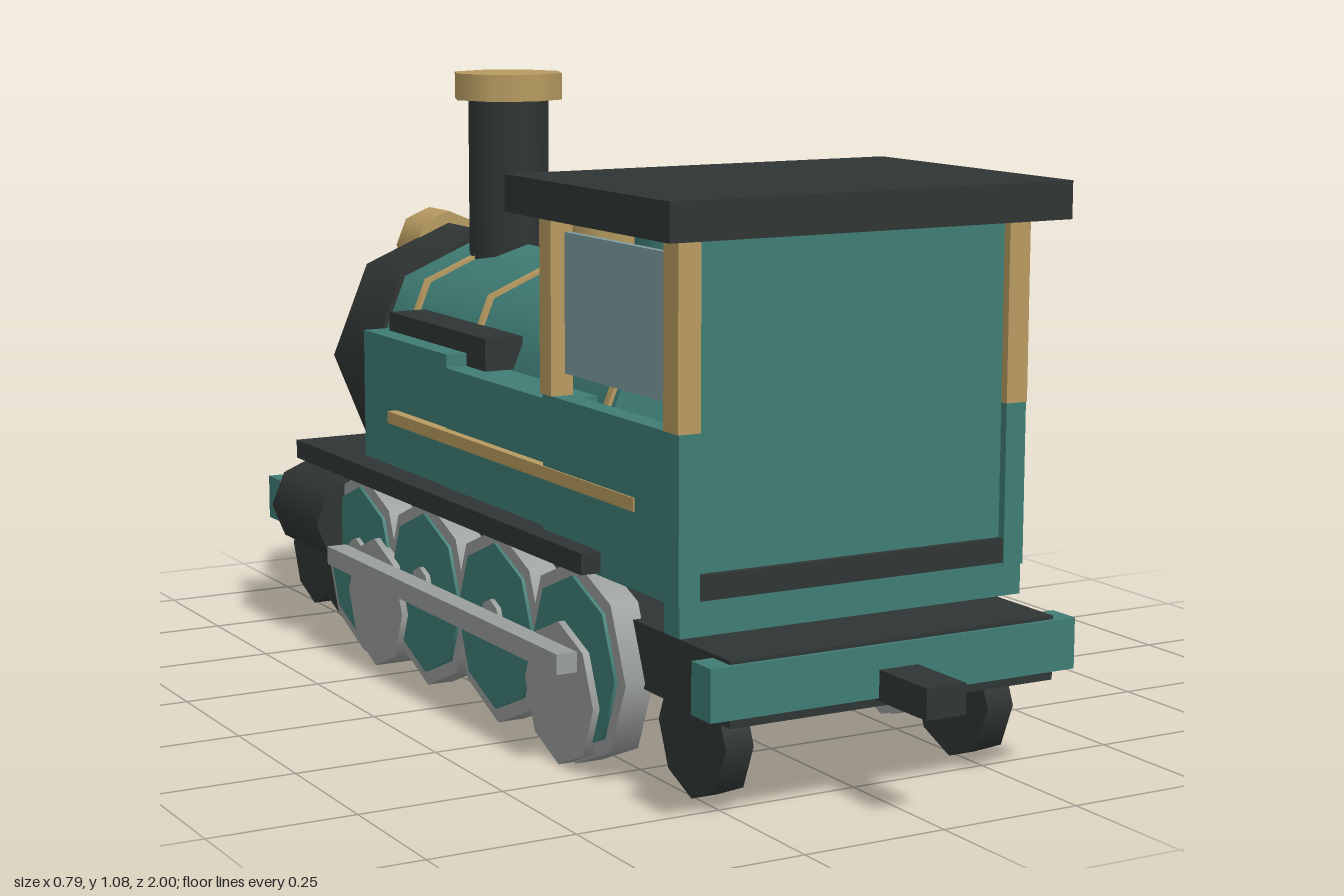
import * as THREE from 'three';

const mat = (color) => new THREE.MeshStandardMaterial({ color });

export function createModel() {
  const model = new THREE.Group();
  const teal = mat(0x3f7d75), black = mat(0x2f3534), gold = mat(0xb89b60);
  const steel = mat(0x9a9e9c), glass = mat(0x7f9da0);

  const add = (name, geometry, material) => {
    const mesh = new THREE.Mesh(geometry, material);
    mesh.name = name;
    model.add(mesh);
    return mesh;
  };
  // Box given by its extents on each axis
  const box = (name, material, [x0, x1], [y0, y1], [z0, z1]) =>
    add(name, new THREE.BoxGeometry(x1 - x0, y1 - y0, z1 - z0), material)
      .position.set((x0 + x1) / 2, (y0 + y1) / 2, (z0 + z1) / 2);
  // The same box on both sides
  const pair = (name, material, [x0, x1], y, z) => {
    box(name + 'Left', material, [x0, x1], y, z);
    box(name + 'Right', material, [-x1, -x0], y, z);
  };
  // Eight-sided drums along each axis
  const drumY = (name, material, r, y0, y1, z) =>
    add(name, new THREE.CylinderGeometry(r, r, y1 - y0, 8), material)
      .position.set(0, (y0 + y1) / 2, z);
  const drumZ = (name, material, r, x, y, z0, z1) =>
    add(name, new THREE.CylinderGeometry(r, r, z1 - z0, 8).rotateX(Math.PI / 2), material)
      .position.set(x, y, (z0 + z1) / 2);
  const wheels = (name, material, r, x0, x1, y, z) => {
    for (const s of [1, -1]) {
      add(name + (s > 0 ? 'Left' : 'Right'),
        new THREE.CylinderGeometry(r, r, x1 - x0, 8).rotateZ(Math.PI / 2), material)
        .position.set(s * (x0 + x1) / 2, y, z);
    }
  };

  // Frame, beams and couplers
  box('frame', black, [-0.3, 0.3], [0.165, 0.27], [-0.79, 0.865]);
  box('underPlate', black, [-0.322, 0.322], [0.14, 0.24], [-0.45, 0.45]);
  box('rearBeam', teal, [-0.338, 0.338], [0.18, 0.264], [0.815, 0.872]);
  box('frontBeam', teal, [-0.338, 0.338], [0.18, 0.264], [-0.872, -0.815]);
  for (const [name, z] of [['rearCoupler', [0.865, 1]], ['frontCoupler', [-1, -0.865]]])
    box(name, black, [-0.036, 0.036], [0.175, 0.225], z);
  pair('runningBoard', black, [0.2, 0.358], [0.335, 0.37], [-0.675, 0.5]);

  // Boiler, bands and smokebox
  const cy = 0.52;
  drumZ('boiler', teal, 0.24, 0, cy, -0.58, 0.355);
  for (const z of [-0.465, -0.195, 0.115, 0.335])
    drumZ('boilerBand', gold, 0.247, 0, cy, z - 0.008, z + 0.008);
  drumZ('smokebox', black, 0.249, 0, cy, -0.74, -0.572);
  drumZ('smokeboxDoor', black, 0.2, 0, cy, -0.755, -0.73);
  drumZ('doorKnob', gold, 0.037, 0, cy, -0.78, -0.75);
  drumZ('headlamp', gold, 0.073, 0, 0.72, -0.825, -0.735);

  // Chimney and domes
  drumY('chimney', black, 0.08, 0.72, 1.03, -0.465);
  drumY('chimneyCap', gold, 0.107, 1.03, 1.08, -0.465);
  drumY('steamDome', gold, 0.094, 0.71, 0.865, -0.042);
  drumY('rearDome', teal, 0.09, 0.71, 0.857, 0.207);

  // Side tanks with lids and trim
  pair('rearTank', teal, [0.22, 0.31], [0.33, 0.585], [-0.1, 0.3]);
  pair('frontTank', teal, [0.22, 0.307], [0.36, 0.608], [-0.46, -0.1]);
  pair('tankLid', black, [0.195, 0.268], [0.585, 0.643], [-0.43, -0.025]);
  pair('goldStripe', gold, [0.3, 0.326], [0.455, 0.477], [-0.315, 0.612]);

  // Cab
  pair('cabSide', teal, [0.285, 0.323], [0.33, 0.597], [0.3, 0.75]);
  box('cabBack', teal, [-0.3, 0.3], [0.37, 0.9], [0.7, 0.735]);
  box('cabFloor', black, [-0.29, 0.29], [0.335, 0.375], [0.27, 0.748]);
  box('cabSill', teal, [-0.32, 0.32], [0.28, 0.335], [0.7, 0.748]);
  pair('rearPost', gold, [0.285, 0.325], [0.597, 0.895], [0.705, 0.75]);
  pair('frontPost', gold, [0.285, 0.325], [0.597, 0.895], [0.295, 0.335]);
  pair('sideWindow', glass, [0.298, 0.31], [0.637, 0.868], [0.355, 0.705]);
  box('roof', black, [-0.369, 0.369], [0.895, 0.957], [0.258, 0.8]);

  // Driving wheels: rim, face and hub
  for (const z of [0.435, 0.152, -0.132, -0.415]) {
    wheels('drivingRim', steel, 0.17, 0.285, 0.335, 0.175, z);
    wheels('drivingFace', teal, 0.145, 0.29, 0.341, 0.175, z);
    wheels('drivingHub', steel, 0.036, 0.3, 0.35, 0.187, z);
  }
  for (const z of [0.41, -0.322])
    wheels('carryingWheel', steel, 0.12, 0.28, 0.353, 0.12, z);
  for (const z of [0.7, -0.675, -0.81])
    wheels('truckWheel', black, 0.104, 0.22, 0.27, 0.112, z);

  // Cylinders and connecting rods
  for (const s of [1, -1])
    drumZ('steamCylinder', black, 0.088, s * 0.305, 0.237, -0.72, -0.498);
  pair('couplingRod', steel, [0.352, 0.39], [0.17, 0.204], [-0.455, 0.475]);

  return model;
}
